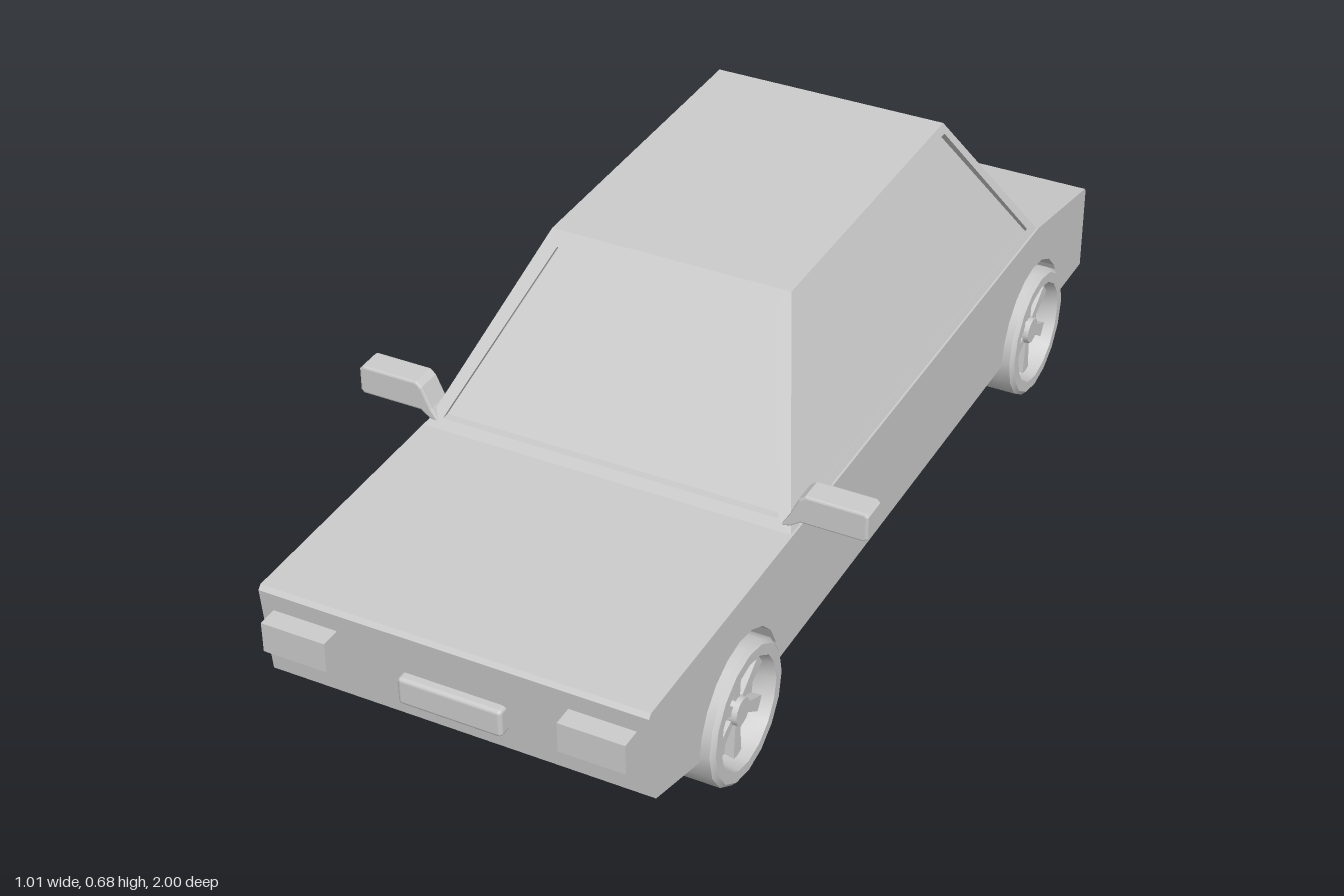
import * as THREE from 'three';
import { toCreasedNormals } from 'three/addons/utils/BufferGeometryUtils.js';
import { RoundedBoxGeometry } from 'three/addons/geometries/RoundedBoxGeometry.js';

const material = new THREE.MeshStandardMaterial({ color: 0xcccccc });

const WHEELS_Z = [0.64, -0.69];
const WHEEL_R = 0.135;
const FLOOR = 0.135;

// Cabin: a tapered block from the waistline to the roof
const WAIST = 0.37, ROOF = 0.68;
const taper = (base, top) => (y) => base + (top - base) * (y - WAIST) / (ROOF - WAIST);
const sideX = taper(0.366, 0.238);
const frontZ = taper(0.435, 0.175);
const backZ = taper(-0.70, -0.495);

const points = (list) => list.map(([x, y]) => new THREE.Vector2(x, y));

function addMesh(parent, name, geometry, x = 0, y = 0, z = 0) {
  const mesh = new THREE.Mesh(geometry, material);
  mesh.name = name;
  mesh.position.set(x, y, z);
  parent.add(mesh);
  return mesh;
}

// Extrude a side profile given as (z, y), from x = right to x = left
function sideExtrude(profile, right, left) {
  const geometry = new THREE.ExtrudeGeometry(new THREE.Shape(points(profile)), { depth: left - right, bevelEnabled: false });
  return geometry.rotateY(-Math.PI / 2).translate(left, 0, 0);
}

function bodyProfile(withArches) {
  const bottom = [];
  for (const z of [...WHEELS_Z].reverse()) {
    for (let i = 0; i <= 10; i++) {
      const a = Math.PI * (1 - i / 10);
      bottom.push([z + 0.15 * Math.cos(a), FLOOR + 0.15 * Math.sin(a)]);
    }
  }
  return [[-0.975, FLOOR], ...(withArches ? bottom : [[0.79, FLOOR]]),
    [0.945, 0.18], [0.965, 0.362], [0.958, WAIST], [-0.70, WAIST], [-0.97, 0.32], [-0.975, 0.312]];
}

// Tapered block between two heights, following the cabin slopes
function cabinBlock(y0, y1, inset) {
  const geometry = new THREE.BoxGeometry(1, 1, 1);
  const p = geometry.attributes.position;
  for (let i = 0; i < p.count; i++) {
    const y = p.getY(i) > 0 ? y1 : y0;
    const x = Math.sign(p.getX(i)) * (sideX(y) - inset);
    const z = p.getZ(i) > 0 ? frontZ(y) - inset : backZ(y) + inset;
    p.setXYZ(i, x, y, z);
  }
  geometry.computeVertexNormals();
  return geometry;
}

// Flat window frame sheared to lean with the cabin, then turned to its side
function windowFrame(outline, holes, distance, angle) {
  const shape = new THREE.Shape(points(outline));
  shape.holes = holes.map((hole) => new THREE.Path(points(hole)));
  const geometry = new THREE.ExtrudeGeometry(shape, { depth: 0.02, bevelEnabled: false });
  const p = geometry.attributes.position;
  for (let i = 0; i < p.count; i++) p.setZ(i, p.getZ(i) - 0.02 + distance(p.getY(i)));
  geometry.computeVertexNormals();
  return geometry.rotateY(angle);
}

function createCabin() {
  const cabin = new THREE.Group();
  cabin.name = 'cabin';
  addMesh(cabin, 'windowGlass', cabinBlock(0.36, 0.672, 0.016));
  addMesh(cabin, 'roof', cabinBlock(0.664, ROOF, 0));

  // Windscreen and rear window
  const w0 = sideX(WAIST), w1 = sideX(ROOF);
  const endOutline = [[-w0, WAIST], [w0, WAIST], [w1, ROOF], [-w1, ROOF]];
  const lo = 0.386, hi = 0.656;
  const g0 = sideX(lo) - 0.024, g1 = sideX(hi) - 0.03;
  const endHole = [[-g0, lo], [g0, lo], [g1, hi], [-g1, hi]];
  addMesh(cabin, 'windscreenFrame', windowFrame(endOutline, [endHole], frontZ, 0));
  addMesh(cabin, 'rearWindowFrame', windowFrame(endOutline, [endHole], (y) => -backZ(y), Math.PI));

  // Side windows with a pillar between them
  const outline = [[backZ(WAIST), WAIST], [frontZ(WAIST), WAIST], [frontZ(ROOF), ROOF], [backZ(ROOF), ROOF]];
  const top = 0.663;
  const holes = [
    [[-0.10, lo], [frontZ(lo) - 0.03, lo], [frontZ(top) - 0.02, top], [-0.112, top]],
    [[backZ(lo) + 0.025, lo], [-0.193, lo], [-0.188, top], [backZ(top) + 0.02, top]],
  ];
  const flip = (list) => list.map(([z, y]) => [-z, y]);
  addMesh(cabin, 'rightWindowFrame', windowFrame(outline, holes, sideX, -Math.PI / 2));
  addMesh(cabin, 'leftWindowFrame', windowFrame(flip(outline), holes.map(flip), sideX, Math.PI / 2));
  return cabin;
}

function createWheel() {
  const wheel = new THREE.Group();
  wheel.name = 'wheel';
  // Tyre with a dished outer face
  const tyre = new THREE.LatheGeometry(points([
    [0, -0.06], [WHEEL_R, -0.06], [WHEEL_R, 0.052], [0.127, 0.06], [0.106, 0.06], [0.098, 0.02], [0, 0.02],
  ]), 16);
  addMesh(wheel, 'tyre', toCreasedNormals(tyre, 0.5).rotateZ(-Math.PI / 2));
  addMesh(wheel, 'hub', new THREE.CylinderGeometry(0.026, 0.03, 0.03, 12).rotateZ(-Math.PI / 2), 0.033);
  // Spokes widen towards the rim
  const spokeShape = new THREE.Shape(points([[-0.008, 0.02], [0.008, 0.02], [0.015, 0.102], [-0.015, 0.102]]));
  const spoke = new THREE.ExtrudeGeometry(spokeShape, { depth: 0.02, bevelEnabled: false }).rotateY(Math.PI / 2);
  for (let i = 0; i < 6; i++) {
    addMesh(wheel, 'spoke', spoke, 0.018).rotation.x = i * Math.PI / 3;
  }
  return wheel;
}

// Mirror housing and arm, drawn from the front for the left side
function mirrorGeometry(side) {
  const outline = [[0.345, 0.38], [0.36, 0.385], [0.378, 0.398], [0.497, 0.398], [0.501, 0.402],
    [0.501, 0.444], [0.497, 0.448], [0.388, 0.448], [0.378, 0.44], [0.36, 0.40]];
  const shape = new THREE.Shape(points(outline.map(([x, y]) => [side * x, y])));
  return new THREE.ExtrudeGeometry(shape, {
    depth: 0.046, bevelThickness: 0.004, bevelSize: 0.004, bevelSegments: 2,
  }).translate(0, 0, 0.377);
}

export function createModel() {
  const car = new THREE.Group();
  car.name = 'car';

  // Lower body: solid middle and two flanks with wheel arches
  const body = new THREE.Group();
  body.name = 'body';
  addMesh(body, 'bodyCore', sideExtrude(bodyProfile(false), -0.265, 0.265));
  addMesh(body, 'leftFlank', sideExtrude(bodyProfile(true), 0.265, 0.37));
  addMesh(body, 'rightFlank', sideExtrude(bodyProfile(true), -0.37, -0.265));
  car.add(body, createCabin());

  for (const side of [1, -1]) {
    const label = side > 0 ? 'left' : 'right';
    WHEELS_Z.forEach((z, i) => {
      const wheel = createWheel();
      wheel.name = label + (i ? 'RearWheel' : 'FrontWheel');
      wheel.position.set(side * 0.329, WHEEL_R, z);
      if (side < 0) wheel.rotation.y = Math.PI;
      car.add(wheel);
    });
    addMesh(car, label + 'Mirror', mirrorGeometry(side));
    addMesh(car, label + 'Headlight', new THREE.BoxGeometry(0.125, 0.06, 0.06), side * 0.283, 0.295, 0.97);
    addMesh(car, label + 'RearLight', new THREE.BoxGeometry(0.125, 0.06, 0.04), side * 0.283, 0.235, -0.98);
  }

  addMesh(car, 'frontPlate', new RoundedBoxGeometry(0.2, 0.056, 0.04, 2, 0.008), 0, 0.252, 0.955);
  return car;
}
